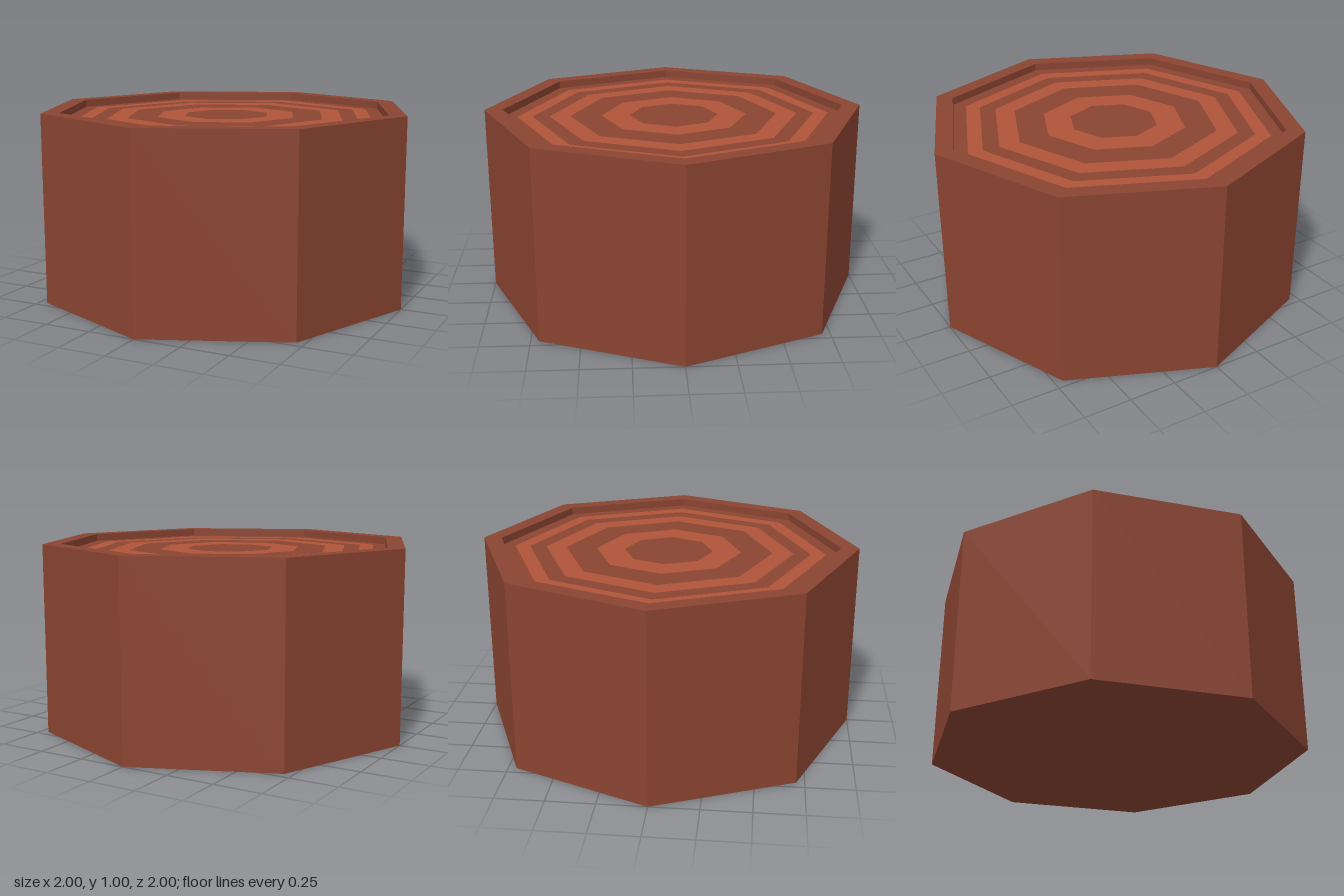
import * as THREE from 'three';

const SIDES = 8;
const RIM = 0.905;   // inner radius of the raised bark rim
const FLOOR = 0.96;  // height of the sunken cut face

export function createModel() {
  const group = new THREE.Group();
  group.name = 'treeStump';

  const bark = new THREE.MeshStandardMaterial({ color: 0x8a4431, flatShading: true });
  const paleWood = new THREE.MeshStandardMaterial({ color: 0xaf5539, flatShading: true });

  // Bark shell: underside, outer wall, rim and the inner wall of the recess
  const profile = [[0, 0], [1, 0], [1, 1], [RIM, 1], [RIM, FLOOR]]
    .map(([r, y]) => new THREE.Vector2(r, y));
  const shellGeometry = new THREE.LatheGeometry(profile, SIDES).toNonIndexed();
  shellGeometry.computeVertexNormals();
  const shell = new THREE.Mesh(shellGeometry, bark);
  shell.name = 'barkShell';
  group.add(shell);

  // Growth rings: alternating dark and pale bands, side by side on the cut face
  const radii = [0, 0.235, 0.385, 0.55, 0.66, 0.75, 0.83, RIM];
  for (let i = 0; i < radii.length - 1; i++) {
    const geometry = i === 0
      ? new THREE.CircleGeometry(radii[1], SIDES)
      : new THREE.RingGeometry(radii[i], radii[i + 1], SIDES);
    geometry.rotateX(-Math.PI / 2);
    const ring = new THREE.Mesh(geometry, i % 2 ? paleWood : bark);
    ring.name = i === 0 ? 'heartwood' : `growthRing${i}`;
    ring.position.y = FLOOR;
    group.add(ring);
  }

  return group;
}
